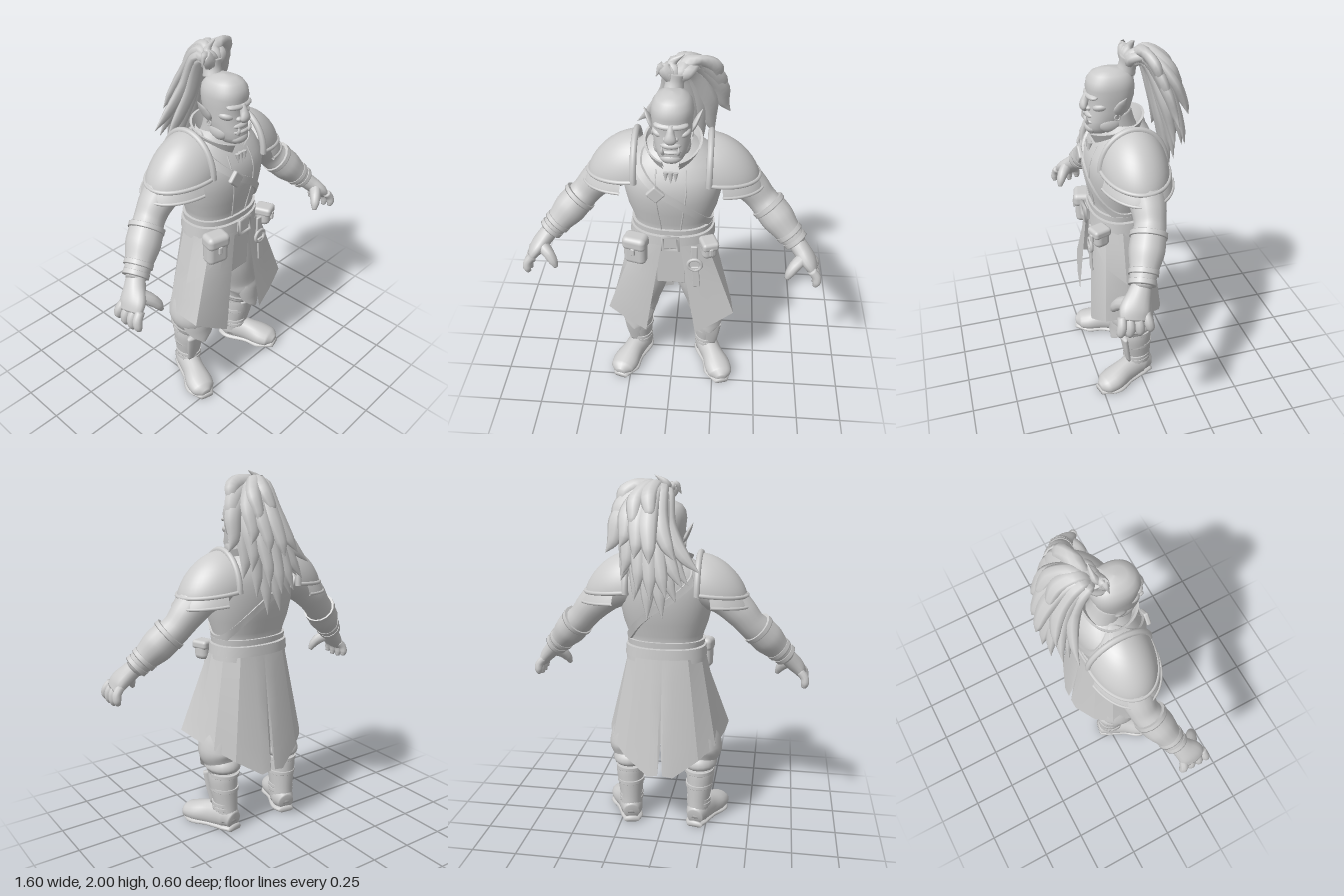
import * as THREE from 'three';
import { toCreasedNormals } from 'three/addons/utils/BufferGeometryUtils.js';
import { RoundedBoxGeometry } from 'three/addons/geometries/RoundedBoxGeometry.js';

const V = (x, y, z) => new THREE.Vector3(x, y, z);
const X = V(1, 0, 0), Z = V(0, 0, 1);

export function createModel() {
  const model = new THREE.Group();
  const grey = new THREE.MeshStandardMaterial({ color: 0xcccccc, side: THREE.DoubleSide });
  grey.name = 'clay grey';

  const add = (name, geo, parent = model) => {
    const m = new THREE.Mesh(geo, grey);
    m.name = name;
    parent.add(m);
    return m;
  };
  // Joins rings of points into a surface
  function skin(rings, closed = true, crease = 0) {
    const n = rings[0].length, pos = [], idx = [];
    rings.forEach(r => r.forEach(p => pos.push(p.x, p.y, p.z)));
    for (let i = 0; i < rings.length - 1; i++) for (let j = 0; j < (closed ? n : n - 1); j++) {
      const k = (j + 1) % n, a = i * n + j, b = i * n + k;
      idx.push(a, b, b + n, a, b + n, a + n);
    }
    const g = new THREE.BufferGeometry();
    g.setAttribute('position', new THREE.Float32BufferAttribute(pos, 3));
    g.setIndex(idx);
    g.computeVertexNormals();
    return crease ? toCreasedNormals(g, crease) : g;
  }
  // Smooth rounded limb; each point is [x, y, z, radius along ref, other radius]
  function limb(pts, ref = Z, sides = 16, steps = 6, floor = -9) {
    const path = new THREE.CatmullRomCurve3(pts.map(p => V(p[0], p[1], p[2])));
    const rad = new THREE.CatmullRomCurve3(pts.map(p => V(p[3], p[4] ?? p[3], 0)));
    const rings = [], n = (pts.length - 1) * steps;
    for (let i = 0; i <= n; i++) {
      const c = path.getPoint(i / n), r = rad.getPoint(i / n), T = path.getTangent(i / n);
      const A = ref.clone().addScaledVector(T, -T.dot(ref)).normalize(), B = T.clone().cross(A);
      const ring = s => Array.from({ length: sides }, (_, j) => {
        const f = j / sides * Math.PI * 2;
        const p = c.clone().addScaledVector(A, Math.cos(f) * Math.max(0, r.x) * s)
          .addScaledVector(B, Math.sin(f) * Math.max(0, r.y) * s);
        p.y = Math.max(p.y, floor);
        return p;
      });
      if (i === 0) rings.push(ring(0));
      rings.push(ring(1));
      if (i === n) rings.push(ring(0));
    }
    return skin(rings);
  }
  const ball = (name, x, y, z, sx, sy, sz, parent) => {
    const m = add(name, new THREE.SphereGeometry(1, 18, 12), parent);
    m.position.set(x, y, z); m.scale.set(sx, sy, sz);
    return m;
  };
  const box = (name, x, y, z, w, h, d, parent) => {
    const m = add(name, new RoundedBoxGeometry(w, h, d, 3, Math.min(w, h, d) * 0.35), parent);
    m.position.set(x, y, z);
    return m;
  };
  const tube = (name, pts, r, parent) =>
    add(name, new THREE.TubeGeometry(new THREE.CatmullRomCurve3(pts), 40, r, 8), parent);

  // Body sections: [y, half width, front z, back z]
  const torso = [[0.9, 0.2, 0.2, -0.06], [1.0, 0.21, 0.215, -0.075], [1.1, 0.2, 0.21, -0.068], [1.15, 0.21, 0.215, -0.075],
    [1.22, 0.235, 0.232, -0.095], [1.3, 0.252, 0.243, -0.11], [1.37, 0.262, 0.243, -0.116], [1.43, 0.258, 0.225, -0.116],
    [1.49, 0.23, 0.19, -0.11], [1.54, 0.17, 0.155, -0.09], [1.58, 0.1, 0.12, -0.05]];
  const head = [[1.525, 0.03, 0.2, 0.11], [1.54, 0.058, 0.222, 0.08], [1.57, 0.076, 0.232, 0.05], [1.61, 0.088, 0.228, 0.02],
    [1.66, 0.096, 0.218, 0], [1.72, 0.1, 0.216, -0.018], [1.77, 0.105, 0.225, -0.022], [1.81, 0.098, 0.218, -0.016],
    [1.84, 0.078, 0.195, 0.005], [1.857, 0.045, 0.16, 0.04], [1.863, 0.001, 0.1, 0.1]];
  const bend = (v, e) => Math.sign(v) * Math.abs(v) ** e;
  function surface(rows, y, a, off = 0) {
    let i = 0;
    while (i < rows.length - 2 && rows[i + 1][0] < y) i++;
    const t = THREE.MathUtils.clamp((y - rows[i][0]) / (rows[i + 1][0] - rows[i][0]), 0, 1);
    const [, rx, f, b] = rows[i].map((v, k) => v + (rows[i + 1][k] - v) * t);
    return V((rx + off) * bend(Math.cos(a), 0.88), y, (f + b) / 2 - ((f - b) / 2 + off) * bend(Math.sin(a), 0.88));
  }
  const loft = rows => skin(rows.map(r => Array.from({ length: 40 }, (_, j) => surface(rows, r[0], j / 20 * Math.PI))));
  // Band wrapped around the torso at a height given per angle
  const band = (yAt, h, off) => skin(Array.from({ length: 65 }, (_, i) => {
    const a = i / 32 * Math.PI, y = yAt(a);
    return [[-h, -0.01], [-h, off], [h, off], [h, -0.01]].map(([d, o]) => surface(torso, y + d / 2, a, o));
  }), true, 0.6);

  add('torso', loft(torso));
  add('neck', limb([[0, 1.46, 0.03, 0.1], [0, 1.55, 0.06, 0.09], [0, 1.64, 0.08, 0.085]]));
  add('belt', band(() => 1.055, 0.055, 0.022));
  add('waistSash', band(() => 1.105, 0.03, 0.014));
  add('lowerSash', band(() => 1.012, 0.025, 0.014));
  add('chestStrap', band(a => 1.335 - 0.22 * Math.cos(a), 0.045, 0.012));
  for (const s of [-1, 1]) tube('coatEdge', [1.1, 1.2, 1.3, 1.4, 1.48].map(y =>
    surface(torso, y, -Math.PI / 2 + s * (0.2 + (y - 1.1) * 0.2))), 0.004);
  box('strapBuckle', -0.075, 1.37, 0.252, 0.075, 0.07, 0.025).rotation.z = -0.75;
  box('beltBuckle', 0, 1.06, 0.245, 0.08, 0.075, 0.02);
  const frame = add('buckleFrame', new THREE.TorusGeometry(0.058, 0.011, 4, 4));
  frame.position.set(0, 1.06, 0.258); frame.rotation.z = Math.PI / 4;

  // Open collar and tooth pendant
  const collar = Array.from({ length: 33 }, (_, i) => {
    const a = 0.32 + i / 32 * (Math.PI * 2 - 0.64), f = (1 + Math.cos(a)) / 2;
    return [0, 0.5, 1, 1, 0].map((t, k) => {
      const w = 0.115 + t * 0.035 - (k > 2 ? 0.012 : 0);
      return V(Math.sin(a) * w, 1.52 - 0.05 * f + t * (0.11 - 0.045 * f), 0.055 + Math.cos(a) * (w - 0.025 + 0.05 * f));
    });
  });
  add('collar', skin(collar, false, 0.7));
  for (const [x, l] of [[-0.025, 0.05], [0, 0.08], [0.025, 0.05]]) {
    const tooth = add('toothPendant', new THREE.ConeGeometry(0.014, l, 8));
    tooth.position.set(x, 1.48 - l / 2, 0.22); tooth.rotation.x = Math.PI - 0.2;
  }

  // Head and face
  add('head', loft(head));
  ball('brow', 0, 1.737, 0.195, 0.085, 0.02, 0.038).rotation.x = 0.2;
  add('nose', limb([[0, 1.745, 0.215, 0.014], [0, 1.71, 0.228, 0.02], [0, 1.675, 0.238, 0.03, 0.02], [0, 1.658, 0.222, 0.016]], X));
  ball('upperLip', 0, 1.632, 0.198, 0.055, 0.022, 0.036);
  ball('lowerLip', 0, 1.602, 0.203, 0.056, 0.014, 0.036);
  ball('chin', 0, 1.562, 0.2, 0.055, 0.032, 0.038);

  // Left half of everything mirrored
  function buildSide(g) {
    ball('cheekbone', 0.055, 1.68, 0.16, 0.042, 0.024, 0.045, g).rotation.z = 0.35;
    ball('jawCorner', 0.066, 1.59, 0.12, 0.028, 0.045, 0.06, g);
    ball('nostril', 0.022, 1.67, 0.215, 0.016, 0.012, 0.018, g);
    add('tusk', limb([[0.036, 1.595, 0.226, 0.01], [0.041, 1.615, 0.236, 0.008], [0.04, 1.64, 0.234, 0.001]]), g);
    add('ear', limb([[0.09, 1.645, 0.09, 0.012, 0.01], [0.108, 1.68, 0.08, 0.032, 0.012],
      [0.125, 1.715, 0.068, 0.026, 0.01], [0.145, 1.752, 0.055, 0.001]]), g);
    const ring = add('earring', new THREE.TorusGeometry(0.014, 0.004, 6, 14), g);
    ring.position.set(0.1, 1.635, 0.09); ring.rotation.y = Math.PI / 2;

    // Shoulder armour: dome, trims and lower lame
    const dome = (a, t, s = 1) => V(0.19 + 0.255 * s * Math.cos(a) * Math.cos(t),
      1.395 + 0.205 * Math.sin(t) ** (1 + 0.4 * Math.cos(a)) - 0.02 * Math.cos(a) * Math.cos(t),
      0.035 + 0.172 * s * Math.sin(a) * Math.cos(t));
    const arc = Array.from({ length: 25 }, (_, i) => (i / 24 - 0.5) * Math.PI);
    const up = Array.from({ length: 13 }, (_, i) => i / 24 * Math.PI);
    add('shoulderPlate', skin(arc.map(a => up.map(t => dome(a, t))), false), g);
    tube('shoulderRim', arc.map(a => dome(a, 0.04)), 0.011, g);
    tube('shoulderInnerRim', [...up.map(t => dome(-Math.PI / 2, t)), ...up.slice(0, -1).reverse().map(t => dome(Math.PI / 2, t))], 0.017, g);
    const lame = arc.slice(2, -2).map(a => [[1, 0], [1.06, -0.025], [1.1, -0.05], [1.04, -0.055]].map(([s, d]) => dome(a, 0, s).add(V(0, d, 0))));
    add('shoulderLame', skin(lame, false, 0.8), g);
    tube('lameRim', lame.map(r => r[2]), 0.008, g);

    // Arm with bracer
    add('arm', limb([[0.2, 1.43, 0.03, 0.12], [0.32, 1.37, 0.03, 0.105], [0.41, 1.29, 0.025, 0.09], [0.47, 1.22, 0.035, 0.08],
      [0.53, 1.16, 0.065, 0.085], [0.6, 1.085, 0.1, 0.068], [0.67, 1.01, 0.14, 0.05]]), g);
    add('bracer', limb([[0.5, 1.195, 0.05, 0.087], [0.55, 1.14, 0.075, 0.09], [0.61, 1.075, 0.107, 0.073], [0.66, 1.025, 0.133, 0.061]]), g);
    for (const [x, y, z, r] of [[0.505, 1.19, 0.052, 0.094], [0.622, 1.063, 0.113, 0.075], [0.655, 1.03, 0.13, 0.068]])
      add('bracerCuff', limb([[x - 0.009, y + 0.009, z - 0.004, r], [x + 0.009, y - 0.009, z + 0.004, r]]), g);

    // Hand
    add('palm', limb([[0.655, 1.03, 0.13, 0.048, 0.045], [0.695, 0.985, 0.16, 0.06, 0.046], [0.735, 0.94, 0.19, 0.075, 0.04],
      [0.762, 0.9, 0.202, 0.068, 0.028]]), g);
    [0.142, 0.182, 0.222, 0.258].forEach((z, i) => {
      const l = [0.88, 1, 1, 0.9][i], splay = (z - 0.2) * 0.25;
      add('finger', limb([[0.748, 0.925, z, 0.023], [0.776, 0.925 - 0.04 * l, z + splay * 0.5, 0.024], [0.78, 0.925 - 0.075 * l, z + splay, 0.022],
        [0.773, 0.925 - 0.103 * l, z + splay, 0.012]], Z, 10, 4), g);
    });
    add('thumb', limb([[0.7, 0.965, 0.205, 0.036], [0.66, 0.935, 0.24, 0.032], [0.635, 0.9, 0.26, 0.025], [0.622, 0.868, 0.268, 0.012]], Z, 10, 4), g);

    // Coat skirt: waist point to hem point for each pleat, slit at the back
    const pleats = [[0.05, 0.232, 0.14, 0.42, 0.27], [0.12, 0.225, 0.245, 0.49, 0.26], [0.185, 0.185, 0.352, 0.56, 0.235],
      [0.22, 0.1, 0.338, 0.545, 0.1], [0.205, 0.005, 0.298, 0.515, -0.03], [0.14, -0.065, 0.21, 0.45, -0.115],
      [0.06, -0.085, 0.072, 0.36, -0.172], [0.012, -0.088, 0.014, 0.37, -0.175], [0, -0.088, 0, 0.56, -0.145]];
    const cols = pleats.map(([x, z, bx, by, bz]) => Array.from({ length: 6 }, (_, i) => V(x, 1.03, z).lerp(V(bx, by, bz), i / 5)));
    add('coatSkirt', skin(cols, false, 0.35), g);

    // Trousers, knee guard, boot
    add('trouserLeg', limb([[0.09, 0.95, 0.06, 0.12, 0.1], [0.135, 0.7, 0.06, 0.13, 0.115], [0.195, 0.53, 0.05, 0.125, 0.122],
      [0.208, 0.47, 0.05, 0.13, 0.122], [0.205, 0.41, 0.04, 0.105, 0.1], [0.2, 0.35, 0.03, 0.09, 0.085]], Z, 20), g);
    add('trouserFold', limb([[0.206, 0.42, 0.035, 0.1, 0.095], [0.205, 0.385, 0.03, 0.115, 0.1], [0.205, 0.36, 0.03, 0.095, 0.085]], Z, 20), g);
    const guard = [[0.5, 0.7, 0.135], [0.45, 1.0, 0.14], [0.4, 0.85, 0.135], [0.36, 0.5, 0.138], [0.32, 0.06, 0.138]];
    add('kneeGuard', skin(guard.map(([y, w, r]) => Array.from({ length: 13 }, (_, j) => {
      const a = (j / 6 - 1) * w + 0.2;
      return V(0.2 + Math.sin(a) * r * 0.9, y, 0.04 + Math.cos(a) * r);
    })), false), g);
    add('bootShaft', limb([[0.2, 0.05, 0.005, 0.07, 0.062], [0.2, 0.14, 0.01, 0.074, 0.064], [0.205, 0.24, 0.02, 0.086, 0.075],
      [0.208, 0.31, 0.025, 0.09, 0.08], [0.207, 0.355, 0.025, 0.086, 0.078]], Z, 20), g);
    for (const [y, r] of [[0.13, 0.078], [0.155, 0.078], [0.25, 0.088], [0.34, 0.094]])
      add('bootStrap', limb([[0.203, y - 0.011, 0.018, r, r * 0.9], [0.203, y + 0.011, 0.018, r, r * 0.9]], Z, 20), g);
    add('shinGuard', limb([[0.226, 0.14, 0.075, 0.014, 0.035], [0.23, 0.24, 0.092, 0.018, 0.05], [0.23, 0.33, 0.105, 0.02, 0.06]]), g);
    add('foot', limb([[0.188, 0.06, -0.06, 0.045, 0.05], [0.2, 0.075, 0, 0.066, 0.08], [0.24, 0.065, 0.09, 0.063, 0.075],
      [0.28, 0.05, 0.18, 0.078, 0.062], [0.3, 0.042, 0.235, 0.07, 0.05], [0.308, 0.035, 0.272, 0.025, 0.025]], X, 20, 6, 0), g);
    add('sole', limb([[0.186, 0.012, -0.066, 0.045, 0.02], [0.198, 0.012, 0, 0.066, 0.02], [0.24, 0.012, 0.09, 0.064, 0.02],
      [0.28, 0.012, 0.18, 0.085, 0.02], [0.308, 0.012, 0.275, 0.04, 0.02]], X, 16, 6, 0), g);
  }
  for (const s of [1, -1]) {
    const side = new THREE.Group();
    side.name = s > 0 ? 'leftSide' : 'rightSide';
    side.scale.x = s;
    buildSide(side);
    model.add(side);
  }

  // Front cloth, pouches and hanging ring
  box('frontCloth', 0, 0.89, 0.212, 0.15, 0.27, 0.012);
  for (const [x, y, w, h, turn] of [[-0.185, 0.993, 0.125, 0.175, -0.25], [0.198, 1.02, 0.085, 0.11, 0.35]]) {
    const pouch = new THREE.Group();
    pouch.name = 'pouch';
    pouch.position.set(x, y, 0.215); pouch.rotation.y = turn;
    box('pouchBody', 0, -h * 0.02, 0.005, w, h * 0.96, 0.085, pouch);
    box('pouchFlap', 0, h * 0.28, 0.008, w * 1.06, h * 0.45, 0.1, pouch);
    box('pouchClasp', 0, h * 0.04, 0.055, 0.022, 0.045, 0.016, pouch);
    model.add(pouch);
  }
  box('ringStrap', 0.125, 0.995, 0.25, 0.035, 0.1, 0.014);
  add('hangingRing', new THREE.TorusGeometry(0.036, 0.009, 8, 24)).position.set(0.13, 0.925, 0.258);
  box('hangingStrap', 0.137, 0.84, 0.258, 0.04, 0.14, 0.012).rotation.z = 0.08;

  // Ponytail: tie, top tuft, and layered locks that flare from knot to tip
  add('hairTie', limb([[0, 1.83, 0.02, 0.05], [0.005, 1.87, 0.01, 0.045], [0.01, 1.91, 0, 0.052]]));
  const lock = ([x, y, z], w, lift) => {
    const flare = x < 0 ? 0.3 : 0.65;
    add('hairLock', limb([[0.01, 1.88, 0, w * 0.6, 0.02], [0.025 + x * 0.2, lift, -0.01 + z * 0.25, w, 0.026],
      [x * flare + 0.03, (lift + y) / 2 + 0.03, z * 0.7, w * 1.2, 0.028],
      [x * (flare + 1) / 2 + 0.01, y + (lift - y) * 0.2, z * 0.93, w * 0.8, 0.018], [x, y, z, 0.001]], X, 8, 5));
  };
  for (const [tips, w, lift] of [
    [[[-0.15, 1.46, -0.17], [-0.09, 1.37, -0.19], [-0.02, 1.29, -0.2], [0.06, 1.28, -0.2], [0.13, 1.38, -0.2], [0.2, 1.48, -0.18]], 0.042, 1.9],
    [[[-0.21, 1.53, -0.19], [-0.13, 1.46, -0.24], [-0.05, 1.41, -0.27], [0.03, 1.4, -0.28], [0.1, 1.44, -0.27], [0.18, 1.52, -0.23], [0.28, 1.62, -0.17]], 0.042, 1.92],
    [[[-0.09, 1.6, -0.25], [0.03, 1.59, -0.3], [0.11, 1.61, -0.28], [0.19, 1.66, -0.24], [0.26, 1.71, -0.14]], 0.042, 1.94],
    [[[0.04, 1.8, -0.22], [0.14, 1.76, -0.23], [0.24, 1.83, -0.1]], 0.036, 1.955]])
    tips.forEach(t => lock(t, w, lift));
  for (const [x, y, z, mx, my] of [[-0.085, 1.9, 0.03, -0.055, 1.96], [-0.06, 1.965, 0.02, -0.04, 1.955], [0.05, 2, -0.01, -0.01, 1.965],
    [0.14, 1.975, -0.06, 0.06, 1.965], [0.2, 1.89, -0.08, 0.11, 1.94]])
    add('topTuft', limb([[0, 1.87, 0.01, 0.03], [mx * 0.6, 1.92, 0.02 + z * 0.2, 0.036, 0.025], [mx, my - 0.01, z * 0.7, 0.024, 0.018], [x, y, z, 0.001]], X, 8, 5));
  return model;
}
